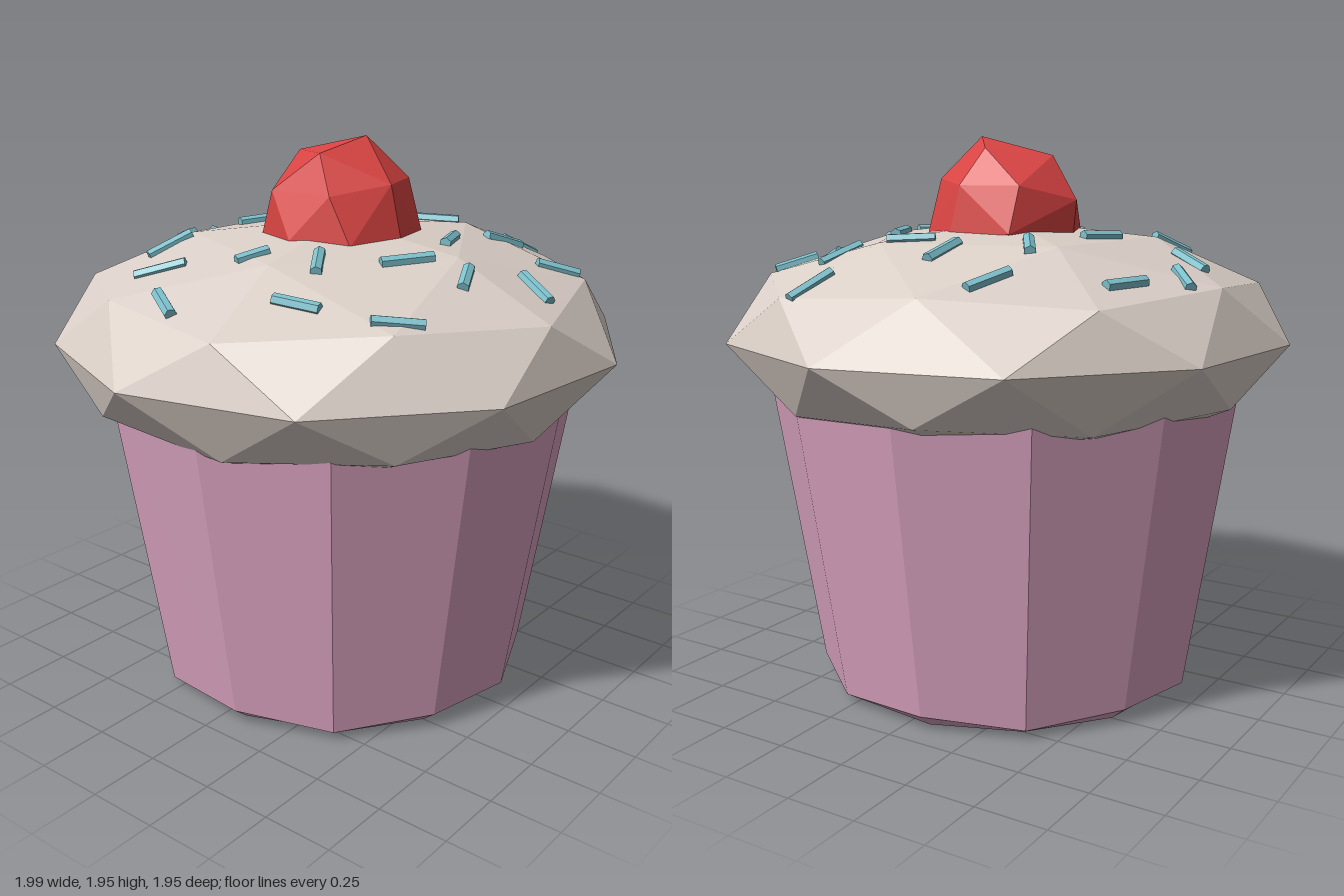
import * as THREE from 'three';
import { ConvexGeometry } from 'three/addons/geometries/ConvexGeometry.js';

const rad = THREE.MathUtils.degToRad;

function part(name, geometry, color) {
  const mesh = new THREE.Mesh(geometry, new THREE.MeshStandardMaterial({ color, flatShading: true }));
  mesh.name = name;
  return mesh;
}

// Twelve-sided tapered cup with a small bevel that rises and falls round the foot
function makeCup() {
  const profile = [[0, 0], [0.62, 0], [0.685, 0.042], [0.852, 1.1]].map(p => new THREE.Vector2(...p));
  const geo = new THREE.LatheGeometry(profile, 12, rad(6.5));
  const pos = geo.attributes.position;
  for (let i = 0; i < pos.count; i++) {
    const corner = Math.floor(i / profile.length);
    if (i % profile.length === 2) pos.setY(i, 0.042 + (corner % 2 ? 0.011 : -0.009));
  }
  return part('cup', geo, 0xd9a3c0);
}

// Flattened icosphere standing on a corner
function makeFrosting() {
  const geo = new THREE.IcosahedronGeometry(1, 1);
  geo.rotateX(-Math.atan((1 + Math.sqrt(5)) / 2));
  geo.rotateY(rad(-5));
  geo.scale(1, 0.4, 1);
  geo.translate(0, 1.255, 0);
  return part('frosting', geo, 0xdbd0c8);
}

// Irregular faceted cherry, sunk into the frosting
function makeCherry() {
  const points = [
    [0.03, 1.945, 0.09], [-0.16, 1.9, 0.04], [0.15, 1.905, 0], [0, 1.88, -0.18],
    [0.235, 1.78, 0.05], [0.14, 1.8, 0.19], [-0.03, 1.8, 0.24], [-0.21, 1.77, 0.12],
    [-0.22, 1.77, -0.12], [0.19, 1.78, -0.16], [0, 1.73, -0.275],
    [0.255, 1.61, 0.08], [0.18, 1.61, 0.22], [-0.02, 1.62, 0.275], [-0.2, 1.61, 0.2],
    [-0.275, 1.62, 0], [-0.21, 1.6, -0.18], [0, 1.58, -0.26], [0.24, 1.62, -0.15],
    [0, 1.45, 0],
  ].map(p => new THREE.Vector3(...p));
  return part('cherry', new ConvexGeometry(points), 0xd94442);
}

// Sprinkle ends as x1, z1, x2, z2
const SPRINKLES = [
  [-0.13, -0.59, -0.06, -0.73], [0.08, -0.69, 0.19, -0.79], [0.29, -0.68, 0.44, -0.62],
  [-0.44, -0.5, -0.3, -0.43], [-0.08, -0.4, 0.07, -0.34], [-0.62, -0.38, -0.52, -0.24],
  [-0.8, -0.03, -0.72, -0.17], [0.28, -0.25, 0.42, -0.34], [0.56, -0.35, 0.71, -0.29],
  [0.41, -0.06, 0.57, -0.05], [0.38, 0.05, 0.46, 0.19], [-0.5, -0.03, -0.4, 0.02],
  [-0.45, 0.26, -0.32, 0.17], [-0.63, 0.24, -0.59, 0.39], [-0.26, 0.37, -0.11, 0.47],
  [0.06, 0.4, 0.21, 0.34], [0.4, 0.35, 0.55, 0.4], [0.68, 0.25, 0.83, 0.3],
  [-0.55, 0.55, -0.44, 0.67], [-0.18, 0.63, -0.07, 0.58], [0.07, 0.8, 0.13, 0.66],
  [0.33, 0.6, 0.44, 0.7],
];

// Small six-sided rods laid on the frosting surface
function makeSprinkles(frosting) {
  const group = new THREE.Group();
  group.name = 'sprinkles';
  const ray = new THREE.Raycaster();
  const down = new THREE.Vector3(0, -1, 0);
  const onFrosting = (x, z) => {
    ray.set(new THREE.Vector3(x, 3, z), down);
    const hit = ray.intersectObject(frosting)[0];
    return new THREE.Vector3(x, hit ? hit.point.y + 0.005 : 1.45, z);
  };
  for (const [x1, z1, x2, z2] of SPRINKLES) {
    const a = onFrosting(x1, z1), b = onFrosting(x2, z2);
    const rod = part('sprinkle', new THREE.CylinderGeometry(0.021, 0.021, a.distanceTo(b), 6), 0x7cc0cc);
    rod.position.lerpVectors(a, b, 0.5);
    rod.quaternion.setFromUnitVectors(new THREE.Vector3(0, 1, 0), b.sub(a).normalize());
    group.add(rod);
  }
  return group;
}

export function createModel() {
  const model = new THREE.Group();
  model.name = 'cupcake';
  const frosting = makeFrosting();
  model.add(makeCup(), frosting, makeCherry(), makeSprinkles(frosting));
  return model;
}
